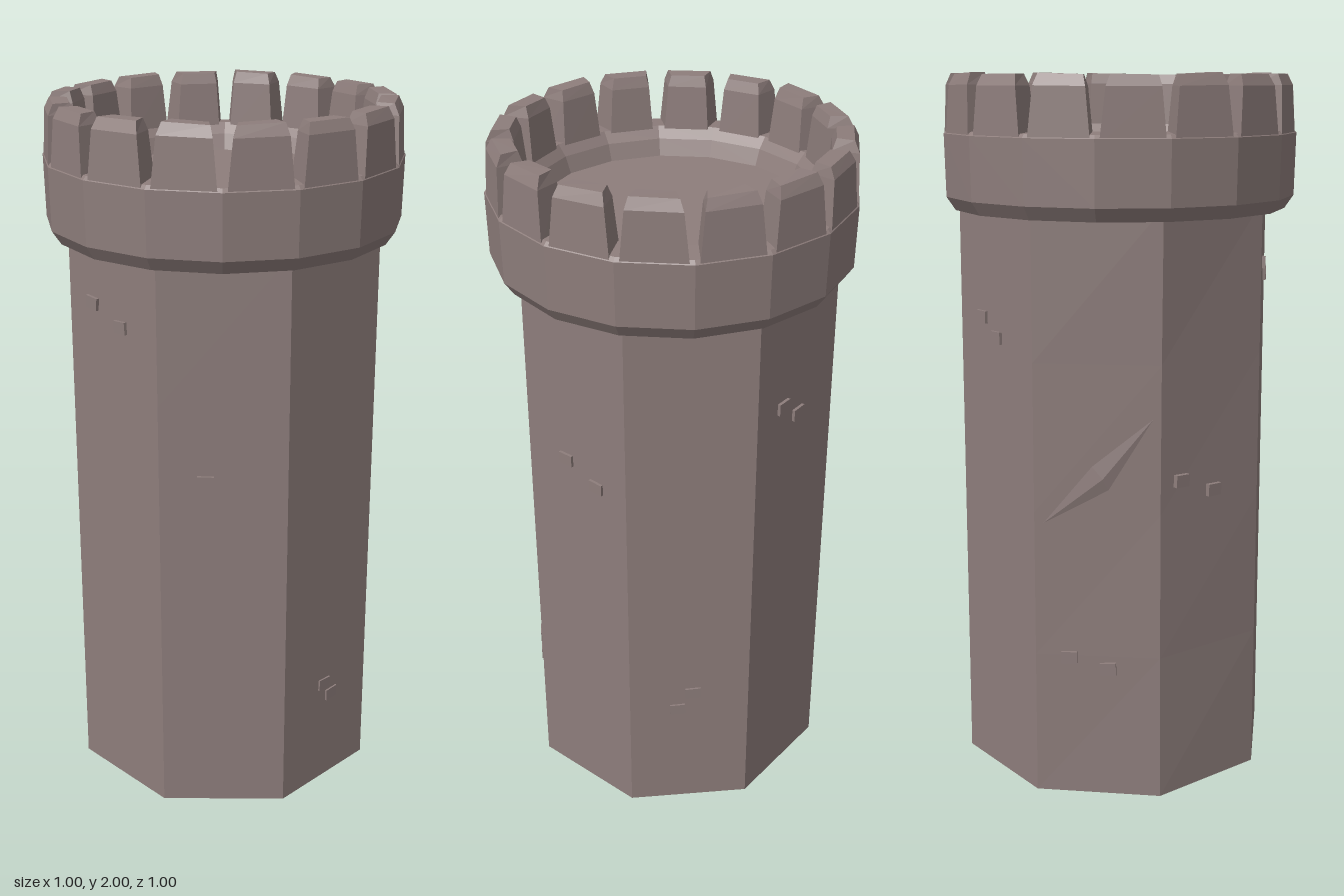
import * as THREE from 'three';

const stone = new THREE.MeshStandardMaterial({ color: 0x8d7d7b, flatShading: true });
stone.name = 'stone';

// small repeatable noise in the range -1..1
let seed = 7;
const jitter = () => {
  seed = (seed * 16807) % 2147483647;
  return (seed / 2147483647) * 2 - 1;
};

function add(parent, name, geometry) {
  const mesh = new THREE.Mesh(geometry, stone);
  mesh.name = name;
  parent.add(mesh);
  return mesh;
}

// Eight-sided shaft, worn inward halfway up its left-hand corner in the front
function shaftGeometry() {
  const g = new THREE.CylinderGeometry(0.455, 0.461, 1.66, 8, 4);
  g.translate(0, 0.83, 0);
  const p = g.attributes.position;
  for (let i = 0; i < p.count; i++) {
    const y = p.getY(i);
    if (p.getX(i) < -0.44 && y > 0.1 && y < 1.6) p.setX(i, p.getX(i) + 0.012 * Math.sin((y / 1.66) * Math.PI));
  }
  return g;
}

// Tapered block with a bevelled top; z is the distance from the tower's axis
function merlonGeometry() {
  const g = new THREE.BoxGeometry(1, 1, 1, 1, 2, 1);
  const rows = [
    { y: 1.82, outer: 0.489, inner: 0.4, wOut: 0.086, wIn: 0.064 },
    { y: 1.965, outer: 0.482, inner: 0.412, wOut: 0.071, wIn: 0.054 },
    { y: 1.995, outer: 0.468, inner: 0.422, wOut: 0.061, wIn: 0.047 },
  ];
  const skew = jitter() * 0.006, lift = jitter() * 0.005, tilt = jitter() * 0.005;
  const p = g.attributes.position;
  for (let i = 0; i < p.count; i++) {
    const level = Math.round((p.getY(i) + 0.5) * 2);
    const r = rows[level], front = p.getZ(i) > 0, side = Math.sign(p.getX(i));
    const up = level / 2;
    p.setXYZ(i, side * (front ? r.wOut : r.wIn) + skew * up,
      r.y + (lift + side * tilt) * up * 0.5, front ? r.outer : r.inner);
  }
  return g;
}

// Slim upward-facing ledge left by a diagonal crack
function crackGeometry() {
  const a = [-0.15, -0.15, 0], b = [0.15, 0.15, 0];
  const upper = [-0.015, 0.015, 0.002], lip = [0.015, -0.018, 0.009];
  const low = [0.03, -0.05, 0];
  const g = new THREE.BufferGeometry();
  g.setAttribute('position', new THREE.Float32BufferAttribute(
    [a, lip, upper, upper, lip, b, a, low, lip, lip, low, b].flat(), 3));
  g.computeVertexNormals();
  return g;
}

export function createModel() {
  const tower = new THREE.Group();
  tower.name = 'tower';

  const body = new THREE.Group();
  body.name = 'body';
  body.position.z = -0.006;
  tower.add(body);
  add(body, 'shaft', shaftGeometry());

  // Raised bricks: [face angle in degrees, position across the face 0..1, height]
  const bricks = [
    [-22.5, 0.28, 1.48], [-22.5, 0.6, 1.435], [22.5, 0.36, 1.03],
    [67.5, 0.48, 0.325], [67.5, 0.57, 0.28],
    [112.5, 0.4, 1.17], [112.5, 0.7, 1.12],
    [157.5, 0.4, 0.36], [157.5, 0.53, 0.42],
    [202.5, 0.32, 1.34], [202.5, 0.52, 1.29],
    [247.5, 0.27, 0.41], [247.5, 0.58, 0.38],
    [292.5, 0.2, 0.92], [292.5, 0.53, 0.875],
  ];
  const onFace = (mesh, degrees, t, y, depth) => {
    const angle = THREE.MathUtils.degToRad(degrees), u = (t - 0.5) * 0.352;
    mesh.position.set(
      Math.sin(angle) * depth + Math.cos(angle) * u, y,
      Math.cos(angle) * depth - Math.sin(angle) * u);
    mesh.rotation.y = angle;
  };
  for (const [degrees, t, y] of bricks) {
    const brick = add(body, 'brick', new THREE.BoxGeometry(0.045, 0.034, 0.014));
    onFace(brick, degrees, t, y, 0.423);
    brick.rotation.z = jitter() * 0.08;
  }
  onFace(add(body, 'crack', crackGeometry()), 247.5, 0.5, 0.95, 0.423);

  // Sixteen-sided crown: underside, wall, rim and sunken floor in one profile
  const profile = [
    [0.39, 1.645], [0.472, 1.625], [0.497, 1.662], [0.5, 1.835],
    [0.49, 1.845], [0.415, 1.85], [0.39, 1.82], [0.372, 1.775], [0, 1.775],
  ].map(([x, y]) => new THREE.Vector2(x, y));
  add(tower, 'crown', new THREE.LatheGeometry(profile, 16));

  // One merlon above each side of the crown
  for (let i = 0; i < 16; i++) {
    add(tower, 'merlon', merlonGeometry()).rotation.y = ((i + 0.5) * Math.PI) / 8;
  }
  return tower;
}
